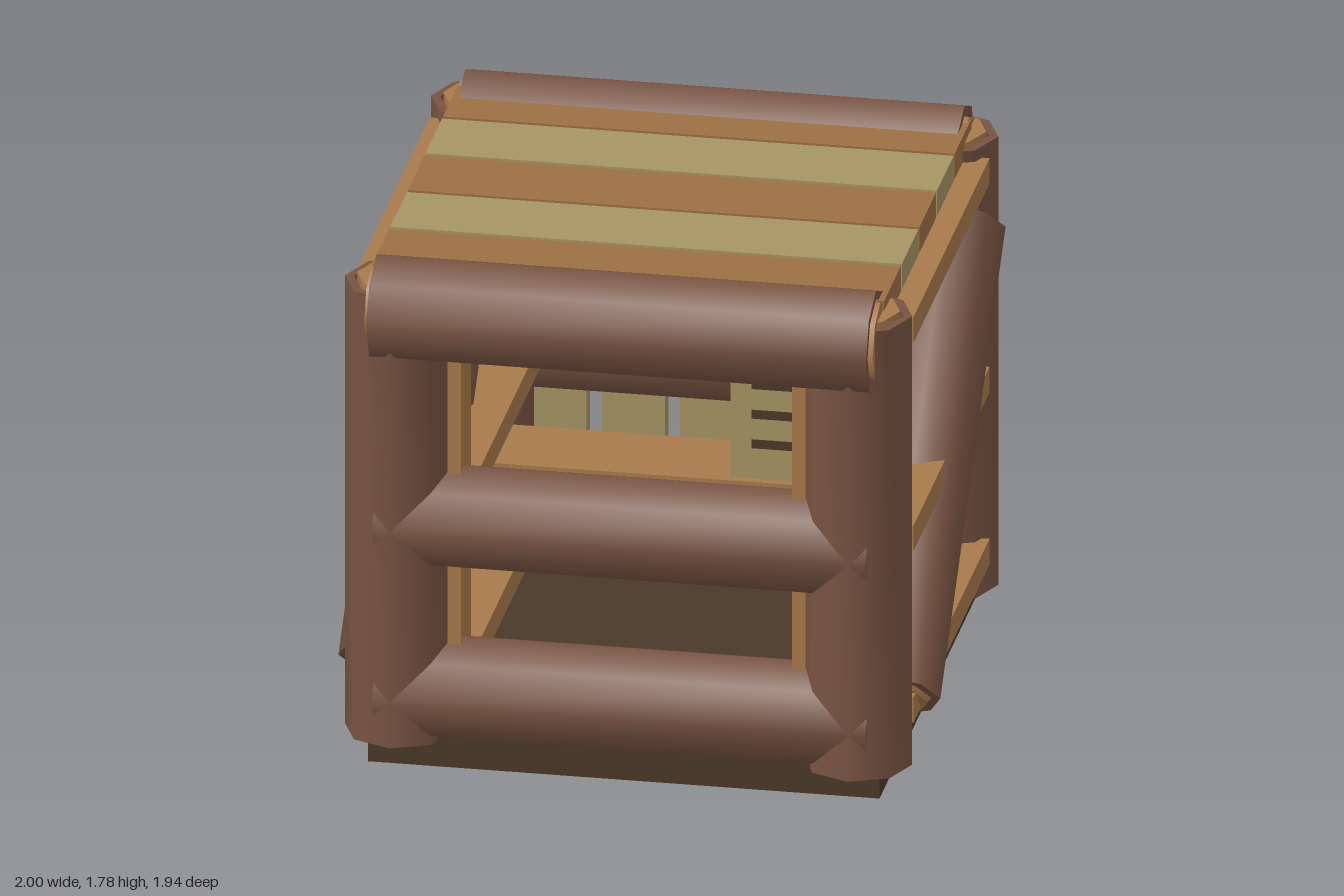
import * as THREE from 'three';
import { toCreasedNormals } from 'three/addons/utils/BufferGeometryUtils.js';

const paint = (color) => new THREE.MeshStandardMaterial({ color });

export function createModel() {
  const model = new THREE.Group();
  const bark = paint(0x785342);
  const wood = paint(0xa87a4c);
  const plankWood = paint(0x9c6f43);
  const pale = paint(0xa69664);
  const dark = paint(0x4a3929);

  // Box given by its min and max on each axis
  function box(name, material, [x0, x1], [y0, y1], [z0, z1]) {
    const mesh = new THREE.Mesh(new THREE.BoxGeometry(x1 - x0, y1 - y0, z1 - z0), material);
    mesh.position.set((x0 + x1) / 2, (y0 + y1) / 2, (z0 + z1) / 2);
    mesh.name = name;
    model.add(mesh);
  }

  // Eight-sided log from a to b: a bark tube around a slightly longer wooden core
  function log(name, a, b, r = 0.18) {
    const from = new THREE.Vector3(...a);
    const to = new THREE.Vector3(...b);
    const h = from.distanceTo(to) / 2;
    const profile = [[r, -h], [r, h], [r - 0.03, h], [r - 0.03, -h], [r, -h]]
      .map(([x, y]) => new THREE.Vector2(x, y));
    const shell = new THREE.Mesh(toCreasedNormals(new THREE.LatheGeometry(profile, 8), 0.9), bark);
    shell.name = 'bark';
    const core = new THREE.Mesh(
      toCreasedNormals(new THREE.CylinderGeometry(r - 0.04, r - 0.04, 2 * h + 0.03, 8), 0.9), wood);
    core.name = 'core';
    const group = new THREE.Group();
    group.name = name;
    group.add(shell, core);
    group.position.copy(from).add(to).multiplyScalar(0.5);
    group.quaternion.setFromUnitVectors(new THREE.Vector3(0, 1, 0), to.sub(from).normalize());
    model.add(group);
  }

  // Floor slab
  box('base', dark, [-0.85, 0.85], [0, 0.14], [-0.87, 0.83]);

  // Corner posts and the horizontal logs between them
  for (const [end, z, topZ] of [['front', 0.74, 0.785], ['back', -0.79, -0.79]]) {
    for (const s of [-1, 1]) log(end + 'Post', [s * 0.762, 0.09, z], [s * 0.762, 1.68, z]);
    log(end + 'LowerLog', [-0.82, 0.25, z], [0.82, 0.25, z]);
    log(end + 'MiddleLog', [-0.82, 0.855, z], [0.82, 0.855, z]);
    log(end + 'TopLog', [-0.83, 1.6, topZ], [0.83, 1.6, topZ]);
  }

  // Sides: diagonal brace, rails, slats and front trim
  for (const s of [-1, 1]) {
    const span = (a, b) => (s > 0 ? [a, b] : [-b, -a]);
    log('diagonalBrace', [s * 0.835, 0.25, 0.55], [s * 0.835, 1.44, -0.61], 0.165);
    for (const y of [0.2, 0.81, 1.55]) {
      box('sideRail', wood, span(0.55, 0.93), [y, y + 0.09], [-0.7, 0.65]);
    }
    for (let i = -2; i <= 2; i++) {
      const z = -0.025 + i * 0.26;
      box('sideSlat', pale, span(0.71, 0.77), [0.2, 1.475], [z - 0.105, z + 0.105]);
    }
    box('frontTrim', wood, span(0.55, 0.595), [0.2, 1.55], [0.6, 0.78]);
  }

  // Back slats
  for (let i = -2; i <= 2; i++) {
    const x = -0.005 + i * 0.26;
    box('backSlat', pale, [x - 0.105, x + 0.105], [0.2, 1.475], [-0.82, -0.76]);
  }

  // Roof planks in alternating woods
  for (let i = 0; i < 5; i++) {
    const z = 0.597 - i * 0.313;
    box('roofPlank', i % 2 ? pale : plankWood, [-0.85, 0.85], [1.64, 1.73], [z - 0.148, z + 0.148]);
  }

  // Bench inside
  box('bench', wood, [-0.72, 0.72], [0.59, 0.68], [-0.45, -0.12]);

  // Slotted panel beside the front opening
  box('panel', pale, [0.32, 0.57], [1.02, 1.405], [0.6, 0.64]);
  for (const y of [1.145, 1.25, 1.355]) {
    box('panelSlot', dark, [0.39, 0.55], [y - 0.015, y + 0.015], [0.595, 0.645]);
  }

  return model;
}
